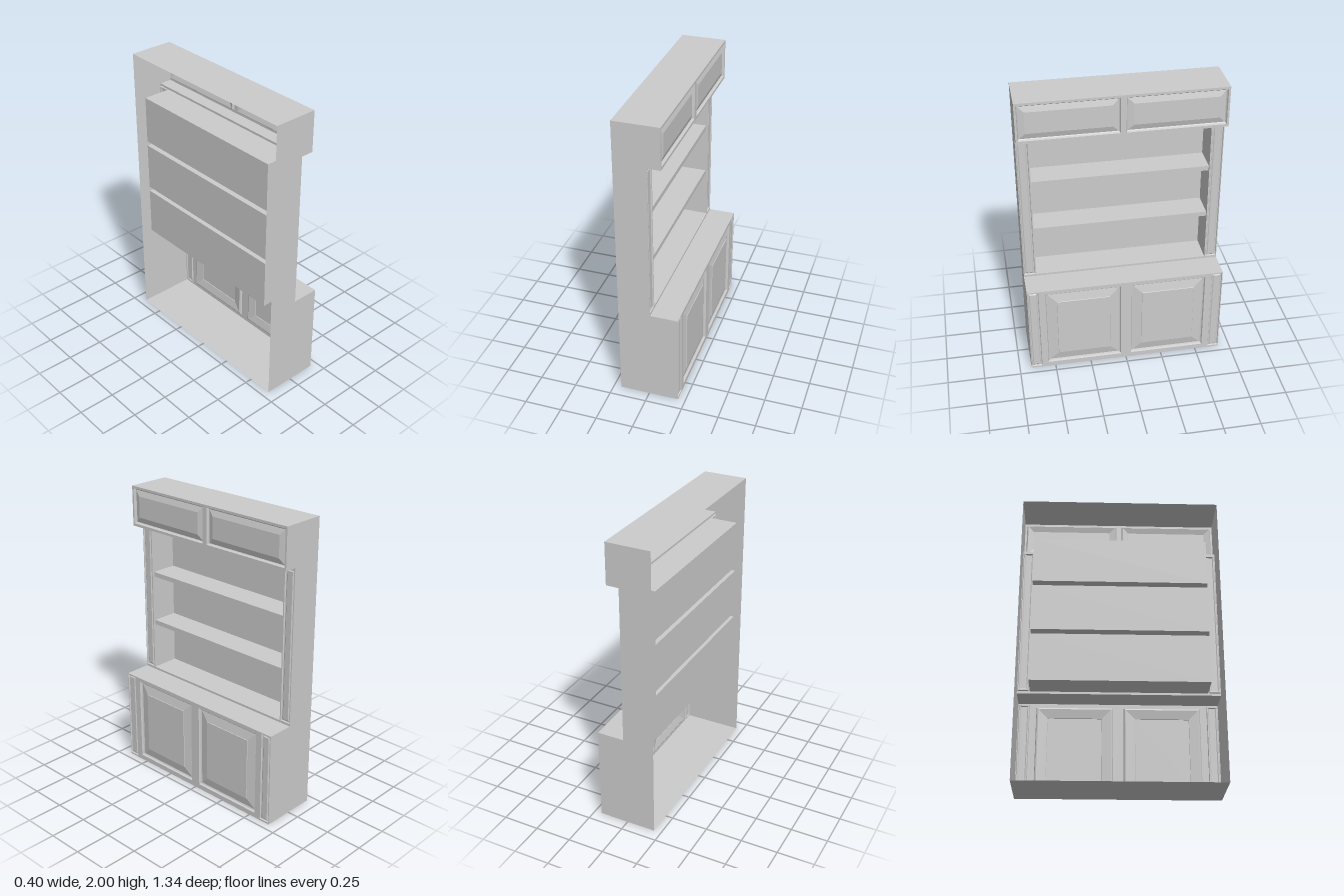
import * as THREE from 'three';

const material = new THREE.MeshStandardMaterial({ color: 0xcccccc, side: THREE.DoubleSide });
const HALF = 0.67;      // half width of the carcass
const NICHE = 0.585;    // half width of the shelf niche
const BACK = -0.2, BASE_FRONT = 0.2, NICHE_FRONT = 0.015, TOP_FRONT = 0.1;

function addMesh(parent, geometry, name) {
  const mesh = new THREE.Mesh(geometry, material);
  mesh.name = name;
  parent.add(mesh);
  return mesh;
}

// flat-shaded geometry from a list of four-cornered faces
function quads(faces) {
  const pos = [];
  for (const [a, b, c, d] of faces) pos.push(...a, ...b, ...c, ...a, ...c, ...d);
  const g = new THREE.BufferGeometry();
  g.setAttribute('position', new THREE.Float32BufferAttribute(pos, 3));
  g.computeVertexNormals();
  return g;
}

// sheet: an (x, y) path swept across the width
function sheet(path, half) {
  const faces = [];
  for (let i = 0; i < path.length - 1; i++) {
    const [p, q] = [path[i], path[i + 1]];
    faces.push([[...p, half], [...p, -half], [...q, -half], [...q, half]]);
  }
  return quads(faces);
}

// rectangle corners facing +x, anticlockwise; r = [zMin, zMax, yMin, yMax]
const corners = ([z0, z1, y0, y1], x, inset = 0) => [
  [x, y0 + inset, z1 - inset], [x, y0 + inset, z0 + inset],
  [x, y1 - inset, z0 + inset], [x, y1 - inset, z1 - inset],
];

// front board with rectangular openings
function board(r, x, holes) {
  const outline = (rect) => corners(rect, 0).map(([, y, z]) => new THREE.Vector2(-z, y));
  const shape = new THREE.Shape(outline(r));
  for (const h of holes) shape.holes.push(new THREE.Path(outline(h).reverse()));
  return new THREE.ShapeGeometry(shape).rotateY(Math.PI / 2).translate(x, 0, 0);
}

// moulded panel: nested rectangles, each step is [inset, depth]
function panel(r, x, steps) {
  const loops = steps.map(([inset, depth]) => corners(r, x - depth, inset));
  const faces = [loops[loops.length - 1]];
  for (let i = 0; i < loops.length - 1; i++) {
    for (let k = 0; k < 4; k++) {
      const n = (k + 1) % 4;
      faces.push([loops[i][k], loops[i][n], loops[i + 1][n], loops[i + 1][k]]);
    }
  }
  return quads(faces);
}

const mirror = ([z0, z1, y0, y1]) => [-z1, -z0, y0, y1];

const DOOR_STEPS = [[0, 0], [0.005, 0.012], [0.014, 0.016], [0.075, 0.003], [0.077, 0]];
const TOP_STEPS = [[0, 0], [0.005, 0.012], [0.01, 0.016], [0.048, 0.004]];
const STILE_STEPS = [[0, 0], [0.004, 0.008], [0.01, 0.008], [0.016, 0.003]];

export function createModel() {
  const model = new THREE.Group();
  model.name = 'bookcase';

  // side walls with the stepped outline
  const outline = [
    [BACK, 0], [BASE_FRONT, 0], [BASE_FRONT, 0.655], [NICHE_FRONT, 0.655],
    [NICHE_FRONT, 1.725], [TOP_FRONT, 1.725], [TOP_FRONT, 2], [BACK, 2],
  ].map((p) => new THREE.Vector2(...p));
  for (const side of [1, -1]) {
    const wall = new THREE.ShapeGeometry(new THREE.Shape(outline));
    if (side < 0) wall.scale(-1, 1, 1).rotateY(Math.PI).index.array.reverse();
    wall.computeVertexNormals();
    addMesh(model, wall, side > 0 ? 'leftWall' : 'rightWall').position.z = side * HALF;
  }

  // horizontal boards of the open-backed carcass
  addMesh(model, sheet([[BASE_FRONT, 0], [BACK, 0]], HALF), 'floor');
  addMesh(model, sheet([[NICHE_FRONT, 0.655], [BASE_FRONT, 0.655]], HALF), 'counter');
  addMesh(model, sheet([[TOP_FRONT, 1.725], [NICHE_FRONT, 1.725]], HALF), 'soffit');
  addMesh(model, sheet([[BACK, 2], [TOP_FRONT, 2]], HALF), 'top');

  // niche: floor, back panels, two shelves and ceiling in one folded sheet
  const nb = -0.18, sf = 0;
  const fold = [[NICHE_FRONT, 1.71], [nb, 1.71]];
  for (const [top, bottom] of [[1.388, 1.355], [1.03, 0.998]]) {
    fold.push([nb, top], [sf, top], [sf, bottom], [nb, bottom]);
  }
  fold.push([nb, 0.67], [NICHE_FRONT, 0.67]);
  addMesh(model, sheet(fold.reverse(), NICHE), 'nicheShelves');
  for (const z of [NICHE, -NICHE]) {
    const cheek = [[nb, 0.67, z], [nb, 1.71, z], [NICHE_FRONT, 1.71, z], [NICHE_FRONT, 0.67, z]];
    addMesh(model, quads([z > 0 ? cheek : cheek.reverse()]), 'nicheCheek');
  }

  // each front: its board, and moulded panels mirrored left and right
  const fronts = [
    { name: 'base', x: BASE_FRONT, y: [0, 0.655], openings: [],
      panels: [['Door', [0.035, 0.548, 0.035, 0.628], DOOR_STEPS],
        ['Stile', [0.593, 0.666, 0.012, 0.648], STILE_STEPS]] },
    { name: 'niche', x: NICHE_FRONT, y: [0.655, 1.725], openings: [[-NICHE, NICHE, 0.67, 1.71]],
      panels: [['Stile', [0.593, 0.666, 0.672, 1.71], STILE_STEPS]] },
    { name: 'header', x: TOP_FRONT, y: [1.725, 2], openings: [],
      panels: [['Door', [0.018, 0.657, 1.743, 1.984], TOP_STEPS]] },
  ];
  for (const { name, x, y, openings, panels } of fronts) {
    const holes = [...openings];
    for (const [part, rect, steps] of panels) {
      for (const r of [rect, mirror(rect)]) {
        holes.push(r);
        addMesh(model, panel(r, x, steps), name + part);
      }
    }
    addMesh(model, board([-HALF, HALF, ...y], x, holes), name + 'Frame');
  }
  return model;
}
